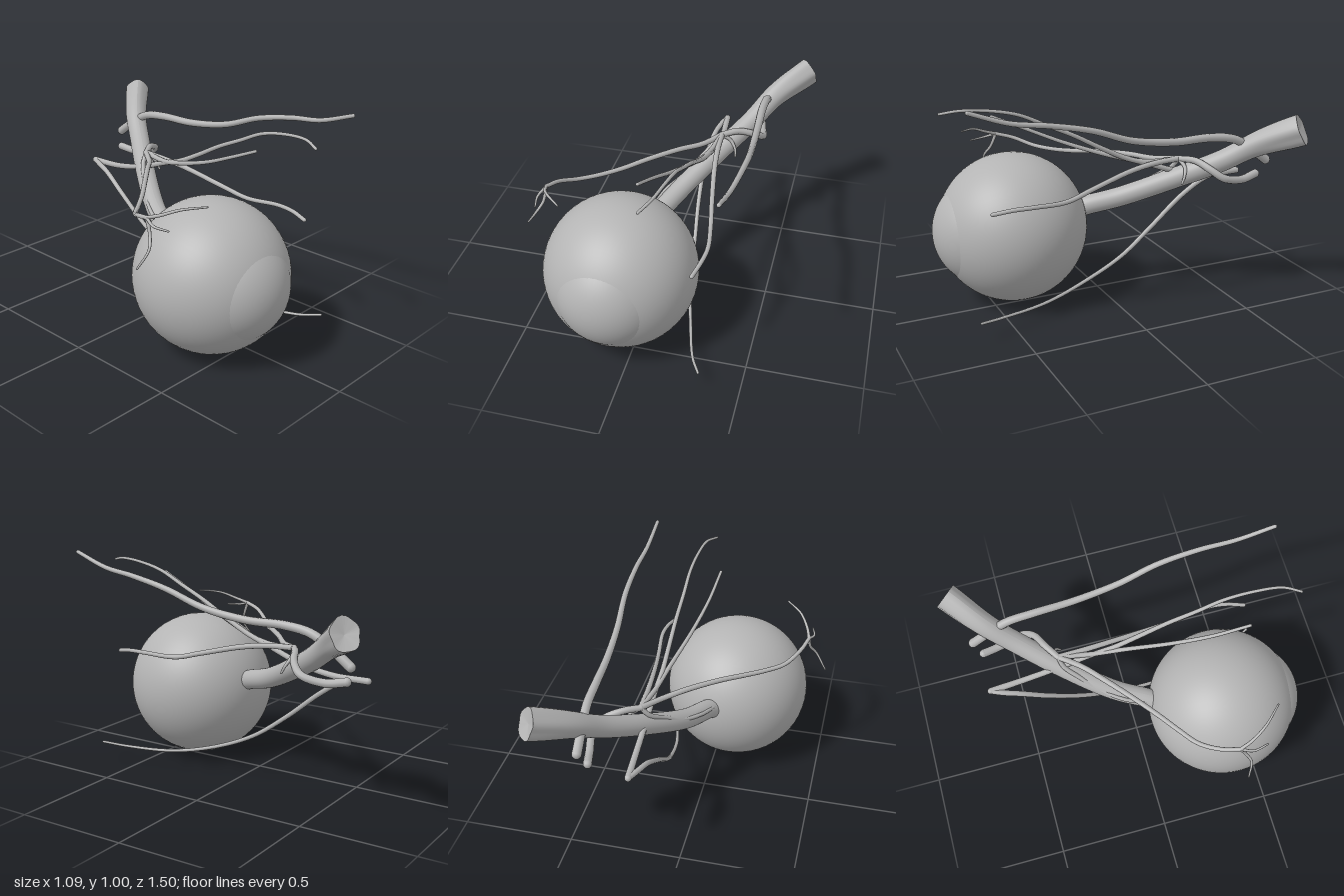
import * as THREE from 'three';
import { mergeGeometries } from 'three/addons/utils/BufferGeometryUtils.js';

const tissue = new THREE.MeshStandardMaterial({ color: 0xb4b4b4 });
tissue.name = 'grey tissue';

function part(name, geometry, parent) {
  const mesh = new THREE.Mesh(geometry, tissue);
  mesh.name = name;
  parent.add(mesh);
  return mesh;
}

const curveOf = (points) =>
  new THREE.CatmullRomCurve3(points.map((p) => new THREE.Vector3(...p)), false, 'centripetal');

// Tube whose radius follows radiusAt(t, angle)
function taperedTube(curve, segments, sides, radiusAt) {
  const geometry = new THREE.TubeGeometry(curve, segments, 1, sides, false);
  const pos = geometry.attributes.position;
  const v = new THREE.Vector3();
  for (let i = 0; i <= segments; i++) {
    const centre = curve.getPointAt(i / segments);
    for (let j = 0; j <= sides; j++) {
      const k = i * (sides + 1) + j;
      v.fromBufferAttribute(pos, k).sub(centre);
      v.multiplyScalar(radiusAt(i / segments, (j / sides) * Math.PI * 2)).add(centre);
      pos.setXYZ(k, v.x, v.y, v.z);
    }
  }
  return geometry;
}

// Blood vessel tapering from root to tip, with rounded ends
function vessel(name, rootRadius, tipRadius, points, parent) {
  const curve = curveOf(points);
  const tube = taperedTube(curve, points.length * 8, 10,
    (t) => THREE.MathUtils.lerp(rootRadius, tipRadius, t));
  const ends = [[0, rootRadius], [1, tipRadius]].map(([t, r]) => {
    const c = curve.getPointAt(t);
    return new THREE.SphereGeometry(r, 10, 8).translate(c.x, c.y, c.z);
  });
  part(name, mergeGeometries([tube, ...ends]), parent);
}

export function createModel() {
  const model = new THREE.Group();
  model.name = 'eyeAnatomy';

  // Eyeball with a bulging cornea
  const eye = new THREE.Group();
  eye.name = 'eye';
  eye.position.set(-0.58, 0.338, 0.382);
  eye.rotation.set(0.02, -0.06, 0);
  model.add(eye);
  part('eyeball', new THREE.SphereGeometry(0.335, 64, 48).rotateX(Math.PI / 2), eye);
  const corneaRadius = 0.25;
  part('cornea',
    new THREE.SphereGeometry(corneaRadius, 48, 16, 0, Math.PI * 2, 0, Math.asin(0.181 / corneaRadius))
      .rotateX(Math.PI / 2).translate(0, 0, 0.359 - corneaRadius), eye);

  // Optic nerve, flaring to a lobed cut end
  const nerve = new THREE.Group();
  nerve.name = 'opticNerve';
  model.add(nerve);
  const path = curveOf([
    [-0.53, 0.39, 0.10], [-0.505, 0.41, 0.06], [-0.435, 0.455, -0.09], [-0.30, 0.555, -0.295],
    [-0.18, 0.645, -0.455], [-0.09, 0.73, -0.575], [0.045, 0.81, -0.705],
  ]);
  const flare = (t, a) => {
    const end = THREE.MathUtils.smoothstep(t, 0.7, 1);
    return 0.044 + 0.005 * t + end * (0.013 + 0.006 * Math.cos(2 * a) + 0.003 * Math.cos(5 * a));
  };
  const segments = 48, sides = 32;
  const sheath = taperedTube(path, segments, sides, flare);
  sheath.computeVertexNormals();
  part('nerveSheath', sheath, nerve);

  // Cut face, dished and closed around its centre
  const rim = [];
  const tip = path.getPointAt(1);
  const dish = tip.clone().addScaledVector(path.getTangentAt(1), -0.012);
  for (let j = 0; j <= sides; j++) {
    rim.push(new THREE.Vector3().fromBufferAttribute(sheath.attributes.position, segments * (sides + 1) + j));
  }
  const fan = [];
  const out = path.getTangentAt(1);
  for (let j = 0; j < sides; j++) {
    const a = rim[j], b = rim[j + 1];
    const facing = a.clone().sub(dish).cross(b.clone().sub(dish)).dot(out) > 0;
    fan.push(dish, facing ? a : b, facing ? b : a);
  }
  const cut = new THREE.BufferGeometry().setFromPoints(fan);
  cut.computeVertexNormals();
  part('nerveCutEnd', cut, nerve);

  // Vessels, each listed from its root at the back to its tip
  const vessels = new THREE.Group();
  vessels.name = 'bloodVessels';
  model.add(vessels);

  vessel('upperArtery', 0.021, 0.009, [
    [-0.125, 0.643, -0.645], [-0.123, 0.695, -0.575], [-0.118, 0.756, -0.475], [-0.118, 0.776, -0.355],
    [-0.11, 0.78, -0.175], [-0.098, 0.812, 0.026], [-0.084, 0.876, 0.206], [-0.085, 0.916, 0.387],
    [-0.095, 0.94, 0.547], [-0.104, 0.995, 0.71],
  ], vessels);
  vessel('upperVein', 0.015, 0.006, [
    [-0.325, 0.54, -0.625], [-0.315, 0.545, -0.47], [-0.312, 0.575, -0.32], [-0.315, 0.635, -0.154],
    [-0.32, 0.67, -0.054], [-0.322, 0.73, 0.066], [-0.325, 0.796, 0.186], [-0.33, 0.852, 0.307],
    [-0.333, 0.908, 0.427], [-0.343, 0.936, 0.555], [-0.36, 0.943, 0.667], [-0.393, 0.93, 0.74],
  ], vessels);
  vessel('lowerVein', 0.013, 0.006, [
    [-0.325, 0.54, -0.625], [-0.345, 0.535, -0.575], [-0.365, 0.515, -0.495], [-0.38, 0.439, -0.375],
    [-0.375, 0.31, -0.214], [-0.355, 0.20, -0.054], [-0.33, 0.118, 0.146], [-0.28, 0.078, 0.347],
    [-0.22, 0.078, 0.567], [-0.174, 0.094, 0.667],
  ], vessels);

  // Main artery looping over the nerve to a fork
  const fork = [-0.29, 0.645, -0.30];
  vessel('mainArtery', 0.019, 0.014, [
    [-0.155, 0.573, -0.615], [-0.135, 0.562, -0.53], [-0.118, 0.585, -0.43], [-0.15, 0.622, -0.38],
    [-0.22, 0.648, -0.345], fork,
  ], vessels);
  vessel('innerBranch', 0.012, 0.007, [
    fork, [-0.315, 0.643, -0.154], [-0.345, 0.675, -0.014], [-0.40, 0.743, 0.186],
    [-0.44, 0.812, 0.347], [-0.463, 0.88, 0.5],
  ], vessels);
  vessel('sideBranch', 0.013, 0.009, [
    fork, [-0.285, 0.64, -0.18], [-0.272, 0.623, -0.054], [-0.24, 0.575, 0.146], [-0.218, 0.547, 0.267],
    [-0.197, 0.552, 0.42], [-0.205, 0.55, 0.507], [-0.225, 0.537, 0.587],
  ], vessels);

  // Outer artery running round the far side of the eyeball to a spray of twigs
  const spray = [-0.912, 0.68, 0.335];
  vessel('outerArtery', 0.013, 0.009, [
    fork, [-0.36, 0.64, -0.21], [-0.45, 0.646, -0.13], [-0.57, 0.64, -0.025], [-0.666, 0.627, 0.056],
    [-0.75, 0.622, 0.12], [-0.826, 0.628, 0.18], [-0.885, 0.66, 0.26], spray,
  ], vessels);
  vessel('upperTwig', 0.008, 0.004, [
    spray, [-0.895, 0.70, 0.39], [-0.855, 0.73, 0.46], [-0.785, 0.743, 0.535],
  ], vessels);
  vessel('outerTwig', 0.008, 0.004, [
    spray, [-0.92, 0.62, 0.36], [-0.95, 0.57, 0.385], [-0.996, 0.50, 0.366],
  ], vessels);
  vessel('shortTwig', 0.007, 0.004, [
    spray, [-0.93, 0.665, 0.39], [-0.917, 0.66, 0.457],
  ], vessels);

  // Small branches lying against the nerve
  vessel('nerveBranch', 0.011, 0.008, [
    fork, [-0.325, 0.60, -0.285], [-0.375, 0.55, -0.225], [-0.435, 0.495, -0.15],
    [-0.495, 0.465, -0.06], [-0.535, 0.43, 0.06],
  ], vessels);
  vessel('nerveTwig', 0.010, 0.005, [
    fork, [-0.25, 0.615, -0.31], [-0.225, 0.58, -0.295], [-0.22, 0.55, -0.28],
  ], vessels);

  return model;
}
